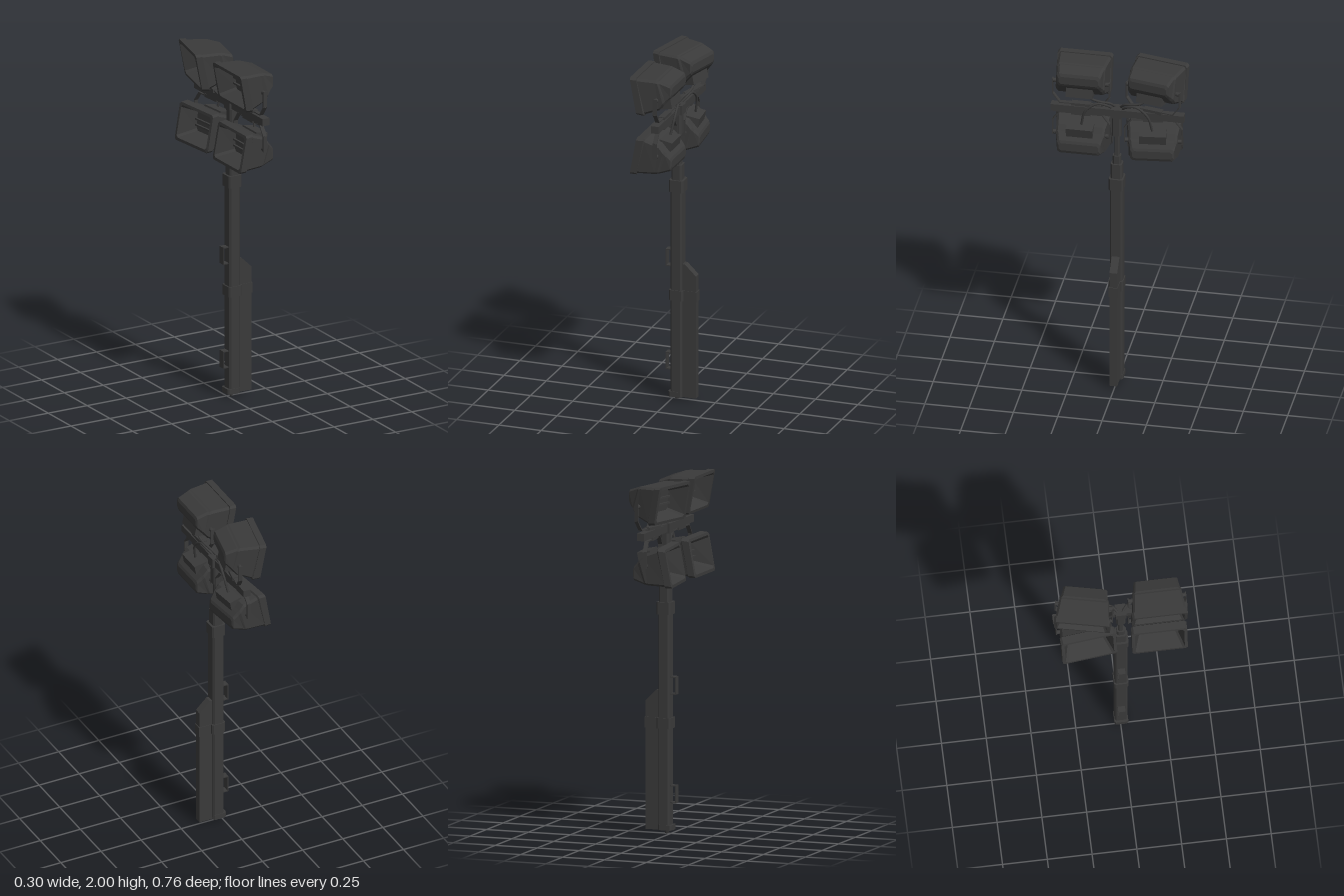
import * as THREE from 'three';

const material = new THREE.MeshStandardMaterial({ color: 0x3a3a3a, flatShading: true, side: THREE.DoubleSide });
const smoothMaterial = new THREE.MeshStandardMaterial({ color: 0x3a3a3a });
const MAST_X = 0.032, MAST_Z = 0.004, BAR_Y = 1.715;

function add(parent, name, geometry, x = 0, y = 0, z = 0, mat = material) {
  const mesh = new THREE.Mesh(geometry, mat);
  mesh.name = name;
  mesh.position.set(x, y, z);
  parent.add(mesh);
  return mesh;
}

const box = (parent, name, w, h, d, x, y, z) => add(parent, name, new THREE.BoxGeometry(w, h, d), x, y, z);

// Upright bar with chamfered corners between two heights
function post(parent, name, w, d, y0, y1, x = MAST_X, z = MAST_Z, c = 0.009) {
  const a = w / 2, b = d / 2;
  const shape = new THREE.Shape([[a - c, -b], [a, c - b], [a, b - c], [a - c, b], [c - a, b], [-a, b - c], [-a, c - b], [c - a, -b]]
    .map(p => new THREE.Vector2(...p)));
  const g = new THREE.ExtrudeGeometry(shape, { depth: y1 - y0, bevelEnabled: false });
  g.rotateX(-Math.PI / 2);
  return add(parent, name, g, x, y0, z);
}

// Flat strap bent along a path of [u, v] points, as one box per segment
function strap(parent, name, points, width, thick) {
  const group = new THREE.Group();
  group.name = name;
  for (let i = 1; i < points.length; i++) {
    const [u0, v0] = points[i - 1], [u1, v1] = points[i];
    const m = box(group, name + 'Segment', Math.hypot(u1 - u0, v1 - v0) + thick * 0.8, thick, width, (u0 + u1) / 2, (v0 + v1) / 2, 0);
    m.rotation.z = Math.atan2(v1 - v0, u1 - u0);
  }
  parent.add(group);
  return group;
}

// Closed loft through rings [xTop, yTop, xBottom, yBottom, halfWidth], from back to front
function loft(rings, c = 0.012) {
  const loops = rings.map(([xt, yt, xb, yb, h]) => [
    [yt, c - h], [yt, h - c], [yt - c, h], [yb + c, h], [yb, h - c], [yb, c - h], [yb + c, -h], [yt - c, -h],
  ].map(([y, z]) => [xb + (xt - xb) * (y - yb) / (yt - yb), y, z]));
  const pos = [];
  const tri = (...corners) => corners.forEach(p => pos.push(...p));
  const first = loops[0], last = loops[loops.length - 1];
  for (let i = 1; i < 7; i++) {
    tri(first[0], first[i], first[i + 1]);
    tri(last[0], last[i + 1], last[i]);
  }
  for (let r = 1; r < loops.length; r++) {
    const a = loops[r - 1], b = loops[r];
    for (let i = 0; i < 8; i++) {
      const j = (i + 1) % 8;
      tri(a[i], b[i], a[j]);
      tri(a[j], b[i], b[j]);
    }
  }
  const g = new THREE.BufferGeometry();
  g.setAttribute('position', new THREE.Float32BufferAttribute(pos, 3));
  g.computeVertexNormals();
  return g;
}

// Floodlight with its yoke; origin on the crossbar under its pivot
function floodlight(name) {
  const lamp = new THREE.Group();
  lamp.name = name;
  const head = new THREE.Group();
  head.name = 'lampHead';
  head.position.x = -0.03;
  lamp.add(head);
  add(head, 'lampHousing', loft([
    [0.112, 0.235, 0.112, 0.19, 0.112],
    [0.105, 0.252, 0.105, 0.175, 0.122],
    [0.04, 0.273, 0.082, 0.148, 0.13],
    [0.03, 0.273, 0.07, 0.135, 0.137],
    [0.02, 0.276, 0.045, 0.105, 0.137],
    [-0.085, 0.279, -0.035, 0.075, 0.148],
    [-0.085, 0.285, -0.04, 0.066, 0.155],
    [-0.122, 0.285, -0.083, 0.07, 0.155],
    [-0.122, 0.268, -0.086, 0.085, 0.138],
    [-0.01, 0.24, 0.0, 0.12, 0.1],
  ]));
  box(head, 'ballastBox', 0.075, 0.075, 0.15, 0.055, 0.132, 0).rotation.z = 0.2;
  // Bars inside the reflector
  for (const y of [0.165, 0.2]) box(head, 'lampBar', 0.012, 0.01, 0.17, -0.025, y, 0);
  // U-shaped yoke, pivots and clamp
  const yoke = strap(lamp, 'yoke', [[-0.16, 0.175], [-0.16, 0.085], [-0.12, 0.03], [0.12, 0.03], [0.16, 0.085], [0.16, 0.175]], 0.024, 0.006);
  yoke.rotation.y = Math.PI / 2;
  for (const s of [-1, 1]) {
    const pivot = add(lamp, 'pivotBolt', new THREE.CylinderGeometry(0.012, 0.012, 0.03, 10), 0, 0.165, s * 0.148);
    pivot.rotation.x = Math.PI / 2;
  }
  box(lamp, 'yokeClamp', 0.036, 0.02, 0.11, 0, 0.027, 0);
  return lamp;
}

export function createModel() {
  const model = new THREE.Group();
  model.name = 'floodlightMast';

  // Telescoping mast
  post(model, 'mastBase', 0.068, 0.072, 0.03, 1.25);
  post(model, 'baseCollar', 0.08, 0.078, 0.02, 0.05, MAST_X - 0.007);
  post(model, 'topCollar', 0.084, 0.082, 1.23, 1.3);
  post(model, 'mastStageTwo', 0.06, 0.064, 1.3, 1.39);
  post(model, 'mastStageThree', 0.042, 0.046, 1.39, 1.44);
  post(model, 'mastStageFour', 0.028, 0.028, 1.44, 1.6, MAST_X, MAST_Z, 0.006);
  post(model, 'mastHead', 0.05, 0.052, 1.57, 1.74);
  add(model, 'footPin', new THREE.CylinderGeometry(0.016, 0.009, 0.022, 10), 0.025, 0.011, MAST_Z);

  // Cabinet beside the mast, and the band round both
  const cabinet = new THREE.Shape([[0.05, 0.02], [0.145, 0.02], [0.145, 0.742], [0.08, 0.805], [0.05, 0.805]].map(p => new THREE.Vector2(...p)));
  add(model, 'cabinet', new THREE.ExtrudeGeometry(cabinet, { depth: 0.044, bevelEnabled: false }), 0, 0, MAST_Z - 0.022);
  post(model, 'mastBand', 0.084, 0.082, 0.59, 0.65);
  box(model, 'cabinetBand', 0.09, 0.06, 0.05, 0.105, 0.62, MAST_Z);

  // Handles on the opposite side
  for (const y of [0.175, 0.785]) {
    const handle = strap(model, 'handle', [[0, 0], [-0.033, 0], [-0.033, 0.095], [0, 0.095]], 0.04, 0.006);
    handle.position.set(0, y, MAST_Z);
  }

  // Crossbar with clamps
  box(model, 'crossbar', 0.044, 0.042, 0.752, MAST_X, BAR_Y, 0);
  box(model, 'crossbarClamp', 0.07, 0.055, 0.06, MAST_X, BAR_Y, MAST_Z);

  // Four lamps, the lower pair hung upside down
  const lamps = [
    ['upperLeftLamp', 0.207, 0, 0], ['upperRightLamp', -0.2, -0.213, 0],
    ['lowerLeftLamp', 0.207, 0, Math.PI], ['lowerRightLamp', -0.2, 0.105, Math.PI],
  ];
  for (const [name, z, yaw, flip] of lamps) {
    const lamp = floodlight(name);
    lamp.position.set(0.03, BAR_Y, z);
    lamp.rotation.set(flip, yaw, 0, 'YXZ');
    model.add(lamp);
  }

  // Cables arching from the mast head to each lamp
  const paths = [
    [[0.02, 1.735, 0.012], [0.045, 1.77, 0.04], [0.062, 1.785, 0.09], [0.065, 1.8, 0.14], [0.06, 1.83, 0.17]],
    [[0.03, 1.73, 0.02], [0.06, 1.765, 0.06], [0.07, 1.775, 0.11], [0.075, 1.725, 0.175], [0.06, 1.63, 0.2]],
  ];
  for (const side of [1, -1]) for (const path of paths) {
    const curve = new THREE.CatmullRomCurve3(path.map(([x, y, z]) => new THREE.Vector3(x, y, z * side)));
    add(model, 'cable', new THREE.TubeGeometry(curve, 20, 0.007, 8), 0, 0, 0, smoothMaterial);
  }
  return model;
}
